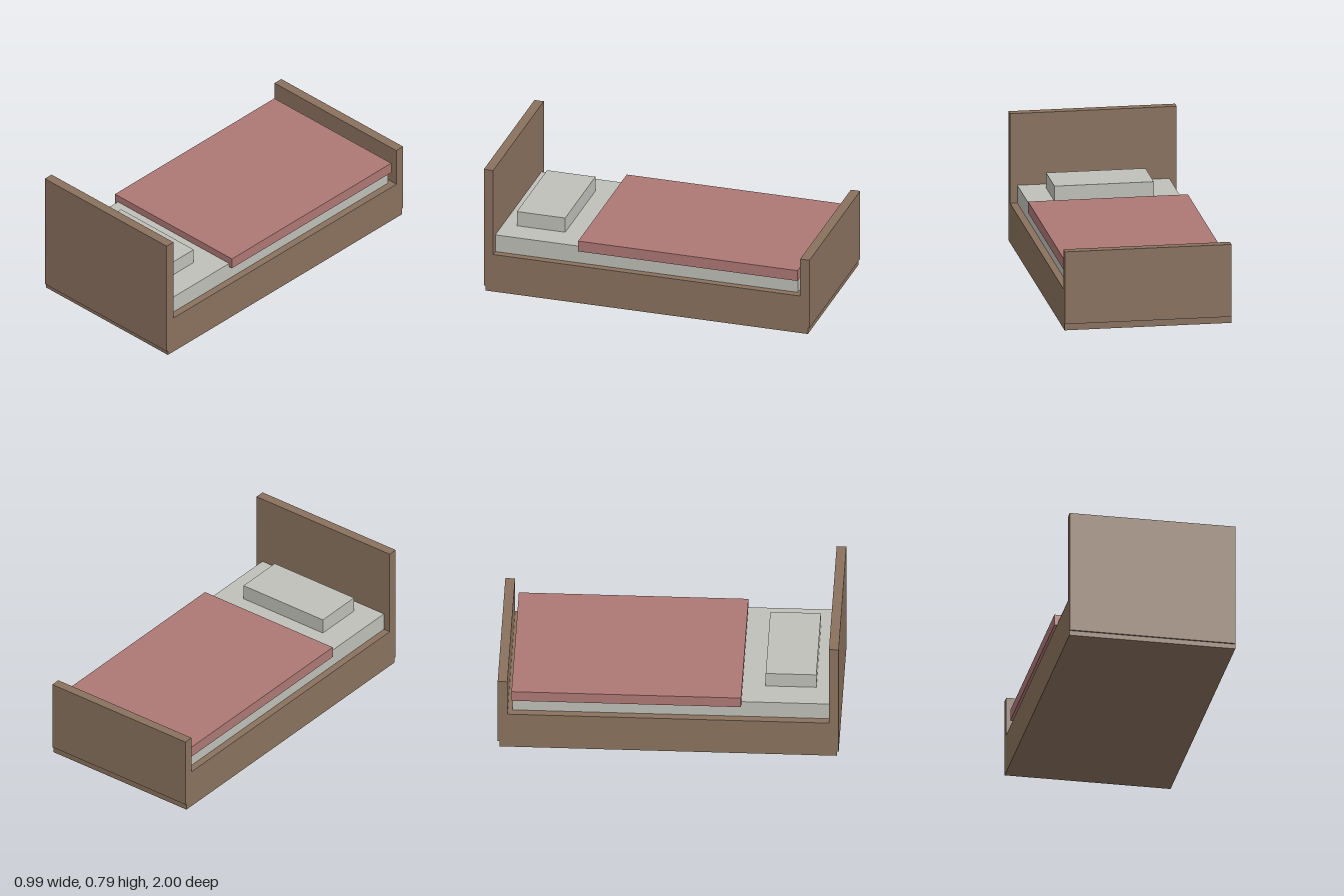
import * as THREE from 'three';

function material(name, color) {
  const m = new THREE.MeshStandardMaterial({ color });
  m.name = name;
  return m;
}

export function createModel() {
  const wood = material('brown wood', 0x8a725e);
  const linen = material('pale grey linen', 0xc0c0ba);
  const wool = material('dusty red blanket', 0xad7875);

  const bed = new THREE.Group();
  bed.name = 'bed';

  // Box centred on x, given by its width and its y and z ranges
  const block = (name, mat, width, [y0, y1], [z0, z1]) => {
    const mesh = new THREE.Mesh(new THREE.BoxGeometry(width, y1 - y0, z1 - z0), mat);
    mesh.name = name;
    mesh.position.set(0, (y0 + y1) / 2, (z0 + z1) / 2);
    bed.add(mesh);
  };

  // Wooden frame; the end boards stand slightly proud of the base
  block('base', wood, 0.99, [0, 0.24], [-0.99, 0.99]);
  block('headboard', wood, 0.99, [0.03, 0.785], [0.943, 1]);
  block('footboard', wood, 0.99, [0.04, 0.48], [-1, -0.943]);

  // Bedding; the blanket overhangs the mattress and wraps its top edge
  block('mattress', linen, 0.904, [0.24, 0.348], [-0.915, 0.943]);
  block('pillow', linen, 0.59, [0.348, 0.44], [0.563, 0.86]);
  block('blanket', wool, 0.95, [0.325, 0.392], [-0.92, 0.427]);

  return bed;
}
